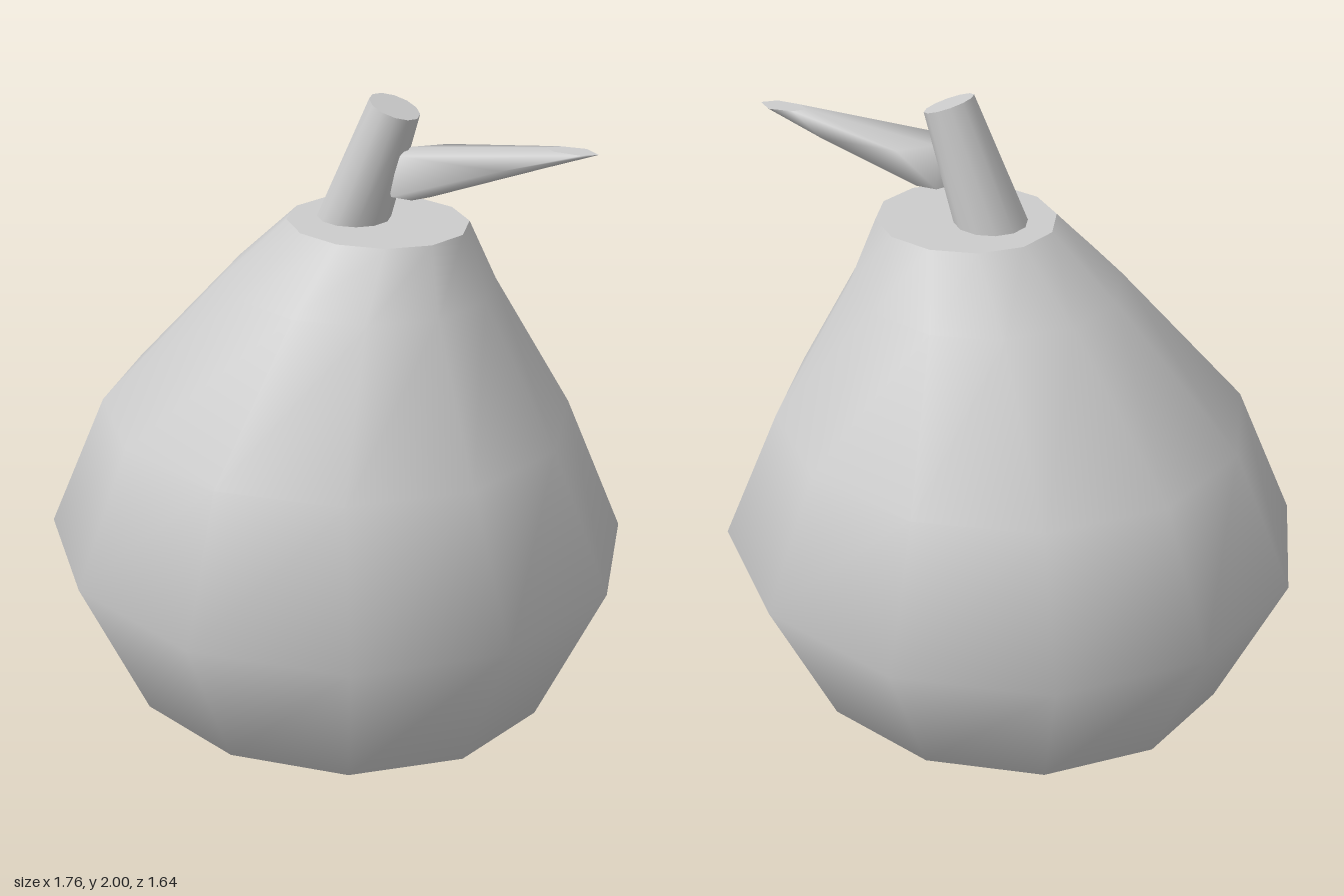
import * as THREE from 'three';

// Horizontal ellipse, counter-clockwise from above; tilt lowers the +x side
function ellipse(cx, y, rx, rz, sides = 12, tilt = 0, cz = 0) {
  return Array.from({ length: sides }, (_, j) => {
    const a = (j / sides) * Math.PI * 2;
    return [cx + rx * Math.cos(a), y - tilt * Math.cos(a), cz - rz * Math.sin(a)];
  });
}

// Smooth-sided skin through the rings, closed with flat, hard-edged caps
function loft(rings) {
  const n = rings[0].length, last = rings.length - 1;
  const points = [...rings, rings[0], rings[last]].flat();
  const index = [];
  for (let i = 0; i < last; i++) {
    for (let j = 0; j < n; j++) {
      const k = (j + 1) % n;
      const a = i * n + j, b = i * n + k, c = b + n, d = a + n;
      index.push(a, b, c, a, c, d);
    }
  }
  const bottom = (last + 1) * n, top = bottom + n;
  for (let j = 1; j < n - 1; j++) {
    index.push(bottom, bottom + j + 1, bottom + j);
    index.push(top, top + j, top + j + 1);
  }
  const geometry = new THREE.BufferGeometry();
  geometry.setAttribute('position', new THREE.Float32BufferAttribute(points.flat(), 3));
  geometry.setIndex(index);
  geometry.computeVertexNormals();
  return geometry;
}

export function createModel() {
  const group = new THREE.Group();
  group.name = 'pear';
  const grey = new THREE.MeshStandardMaterial({ color: 0xcccccc });
  grey.name = 'plain grey';

  const add = (name, rings) => {
    const mesh = new THREE.Mesh(loft(rings), grey);
    mesh.name = name;
    group.add(mesh);
  };

  // Fruit: twelve-sided rings, the neck leaning to +x
  add('fruit', [
    [0, 0, 0.32, 0.3],
    [0, 0.19, 0.685, 0.62],
    [0, 0.66, 0.88, 0.818],
    [0, 1.07, 0.697, 0.66],
    [0.075, 1.47, 0.395, 0.37],
    [0.135, 1.65, 0.26, 0.235],
  ].map((r) => ellipse(...r)));

  // Stem: leaning and tapered, with a slanted tip
  add('stem', [
    ellipse(0.06, 1.65, 0.105, 0.1),
    ellipse(0.182, 1.975, 0.068, 0.072, 12, 0.025),
  ]);

  // Leaf: a thick six-sided blade swept out from the stem
  const at = (y, outline) => outline.map(([x, z]) => [x, y, z]);
  add('leaf', [
    ellipse(0.232, 1.74, 0.062, 0.058, 6),
    at(1.86, [[0.61, -0.03], [0.52, -0.11], [0.29, -0.11], [0.21, -0.03], [0.23, 0.06], [0.52, 0.056]]),
    at(1.91, [[0.747, -0.048], [0.7, -0.085], [0.63, -0.075], [0.6, -0.045], [0.635, -0.02], [0.71, -0.018]]),
  ]);

  return group;
}
